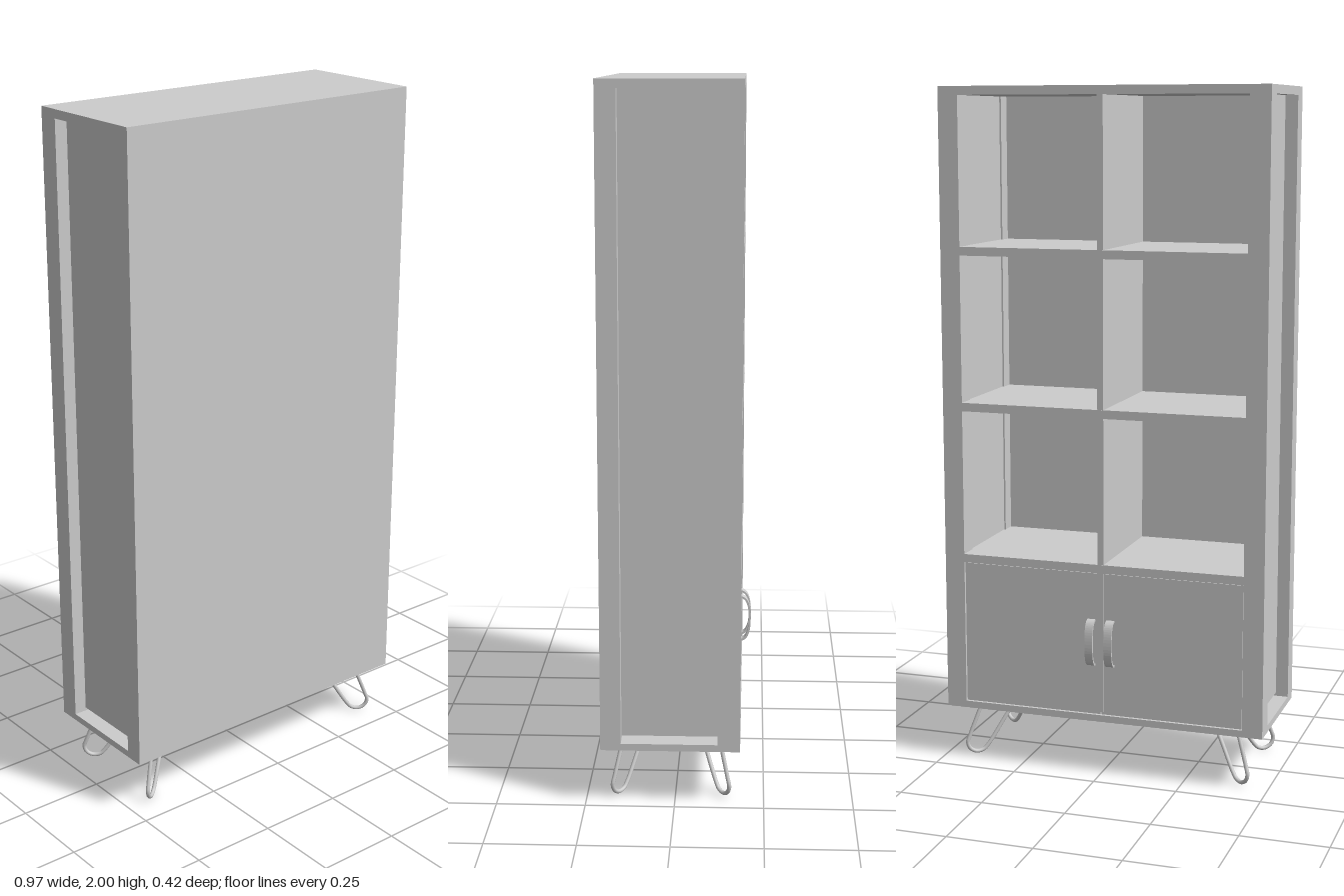
import * as THREE from 'three';

const mat = new THREE.MeshStandardMaterial({ color: 0xcccccc });

export function createModel() {
  const model = new THREE.Group();

  const add = (name, geometry, parent = model) => {
    const mesh = new THREE.Mesh(geometry, mat);
    mesh.name = name;
    parent.add(mesh);
    return mesh;
  };
  // Box given by its limits on each axis
  const box = (name, x0, x1, y0, y1, z0, z1, parent) =>
    add(name, new THREE.BoxGeometry(x1 - x0, y1 - y0, z1 - z0), parent)
      .position.set((x0 + x1) / 2, (y0 + y1) / 2, (z0 + z1) / 2);

  const W = 0.487, IN = 0.427;         // outer and inner half width
  const Y0 = 0.16, FLOOR = 0.18, CEIL = 1.975, TOP = 2;
  const ZB = -0.183, ZF = 0.207, ZP = 0.195; // open side, closed side, panel inside
  const ZMID = (ZB + ZF) / 2;
  const GAP = 0.19;                    // underside of the raised panels
  const CELL = 0.43, SHELF = 0.025;

  // Carcass
  box('topBoard', -W, W, CEIL, TOP, ZB, ZF);
  box('bottomBoard', -W, W, Y0, FLOOR, ZB, ZF);
  box('closedPanel', -W, W, FLOOR, CEIL, ZP, ZF);

  // Side frames with recessed panels
  for (const s of [-1, 1]) {
    const side = new THREE.Group();
    side.name = s > 0 ? 'leftSide' : 'rightSide';
    model.add(side);
    const slab = (name, a, b, y0, z0, z1) =>
      box(name, Math.min(s * a, s * b), Math.max(s * a, s * b), y0, CEIL, z0, z1, side);
    slab('post', IN, W, FLOOR, ZB, -0.12);
    slab('post', IN, W, FLOOR, 0.15, ZP);
    slab('sidePanel', 0.432, 0.45, GAP, -0.12, 0.15);
  }

  // Shelves and central divider
  for (let i = 1; i <= 3; i++) {
    const y = CEIL - i * (CELL + SHELF);
    box('shelf', -0.44, 0.44, y, y + SHELF, ZB, ZP);
  }
  box('divider', -0.009, 0.009, GAP, CEIL, ZB + 0.001, ZP);

  // Doors with curved strap handles
  const strap = new THREE.Shape();
  strap.moveTo(0, 0.07);
  strap.bezierCurveTo(0.02, 0.07, 0.032, 0.05, 0.032, 0);
  strap.bezierCurveTo(0.032, -0.05, 0.02, -0.07, 0, -0.07);
  strap.lineTo(0, -0.064);
  strap.bezierCurveTo(0.016, -0.064, 0.026, -0.046, 0.026, 0);
  strap.bezierCurveTo(0.026, 0.046, 0.016, 0.064, 0, 0.064);
  const handleGeo = new THREE.ExtrudeGeometry(strap, { depth: 0.024, bevelEnabled: false, curveSegments: 14 });
  handleGeo.translate(0, 0, -0.012).rotateY(Math.PI / 2);
  for (const s of [-1, 1]) {
    const a = s * 0.0015, b = s * (IN - 0.002);
    box('door', Math.min(a, b), Math.max(a, b), FLOOR + 0.002, 0.608, -0.188 + 0.009, -0.16);
    box('doorJamb', s > 0 ? 0 : -0.009, s > 0 ? 0.009 : 0, GAP, 0.61, -0.175, -0.16);
    add('handle', handleGeo).position.set(s * 0.029, 0.4, -0.178);
  }

  // Hairpin legs: bent wire in a vertical plane pointing out of each corner
  const R = 0.006;
  const wire = [
    [0.31, 0.165, 0.09], [0.345, 0.1, 0.112], [0.385, 0.026, 0.139],
    [0.398, 0.010, 0.148], [0.415, R, 0.161], [0.431, 0.016, 0.172],
    [0.438, 0.036, 0.177], [0.432, 0.06, 0.172], [0.398, 0.165, 0.148],
  ];
  for (const sx of [-1, 1]) for (const sz of [-1, 1]) {
    const pts = wire.map(([x, y, z]) => new THREE.Vector3(sx * x, y, ZMID + sz * (z - ZMID)));
    add(sz > 0 ? 'frontLeg' : 'backLeg',
      new THREE.TubeGeometry(new THREE.CatmullRomCurve3(pts), 48, R, 10));
  }
  return model;
}
